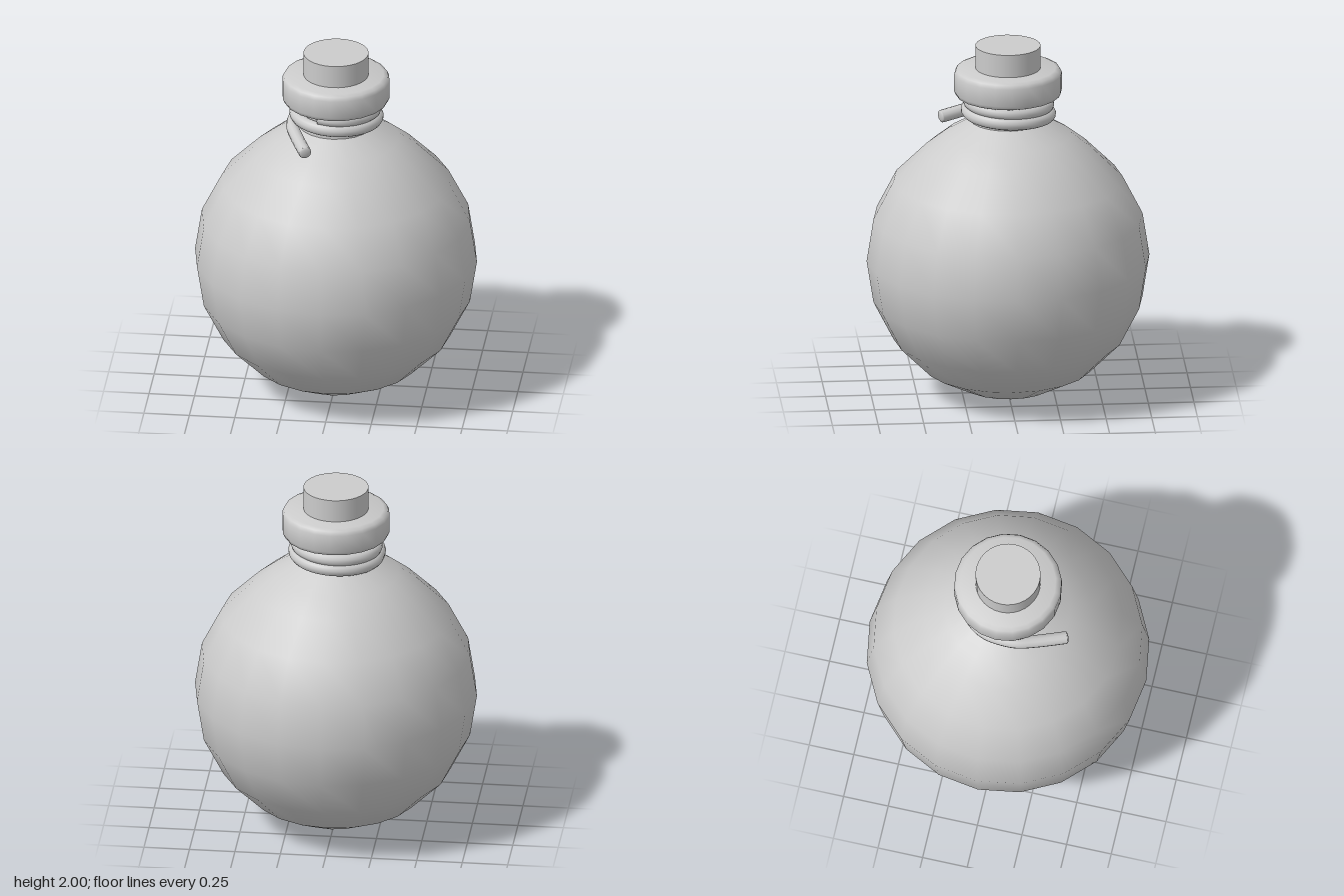
import * as THREE from 'three';
import { toCreasedNormals } from 'three/addons/utils/BufferGeometryUtils.js';

const SIDES = 20;
const grey = new THREE.MeshStandardMaterial({ color: 0xcccccc });

function addMesh(group, name, geometry) {
  const mesh = new THREE.Mesh(geometry, grey);
  mesh.name = name;
  group.add(mesh);
  return mesh;
}

// Surface of revolution from [radius, height] pairs, listed bottom to top
function turned(points, sides, crease) {
  const profile = points.map(([r, y]) => new THREE.Vector2(r, y));
  const geometry = new THREE.LatheGeometry(profile, sides);
  return crease ? toCreasedNormals(geometry, crease) : geometry;
}

// Cord wound down the neck, ending in a loose tail at the front
function cordCurve() {
  const points = [];
  const start = -0.33, end = Math.PI * 3.5, steps = 34;
  for (let i = 0; i <= steps; i++) {
    const t = i / steps;
    const a = start + (end - start) * t;
    const r = 0.212 + 0.018 * t;
    points.push(new THREE.Vector3(Math.sin(a) * r, 1.692 - 0.1 * t, Math.cos(a) * r));
  }
  points.push(
    new THREE.Vector3(-0.228, 1.588, 0.1),
    new THREE.Vector3(-0.195, 1.575, 0.2),
    new THREE.Vector3(-0.13, 1.555, 0.355)
  );
  return new THREE.CatmullRomCurve3(points, false, 'centripetal');
}

export function createModel() {
  const model = new THREE.Group();
  model.name = 'roundFlask';

  // Spherical body, with the shoulder easing into the neck
  const R = 0.775;
  const body = [];
  for (let i = 0; i <= 8; i++) {
    const a = (i * Math.PI) / 10;
    body.push([Math.sin(a) * R, R - Math.cos(a) * R]);
  }
  body.push([0.345, 1.49], [0.2, 1.575]);
  addMesh(model, 'body', turned(body, SIDES));

  // Neck
  addMesh(model, 'neck', turned([[0.205, 1.53], [0.205, 1.74]], SIDES));

  // Rim collar with rounded edges
  const collar = [
    [0, 1.712], [0.262, 1.712], [0.285, 1.721], [0.295, 1.742],
    [0.295, 1.84], [0.285, 1.862], [0.262, 1.872], [0, 1.872],
  ];
  addMesh(model, 'collar', turned(collar, SIDES, 0.9));

  // Stopper
  const stopper = new THREE.CylinderGeometry(0.178, 0.178, 0.2, 32);
  addMesh(model, 'stopper', stopper).position.y = 1.9;

  // Cord with domed ends
  const curve = cordCurve();
  const cordRadius = 0.035;
  const cord = new THREE.Group();
  cord.name = 'cord';
  addMesh(cord, 'cordWinding', new THREE.TubeGeometry(curve, 180, cordRadius, 12));
  for (const t of [0, 1]) {
    const cap = addMesh(cord, 'cordEnd', new THREE.SphereGeometry(cordRadius, 12, 8));
    const out = curve.getTangentAt(t).multiplyScalar(t ? 1 : -1);
    cap.quaternion.setFromUnitVectors(new THREE.Vector3(0, 1, 0), out);
    cap.scale.y = 0.35;
    cap.position.copy(curve.getPointAt(t));
  }
  model.add(cord);

  return model;
}
